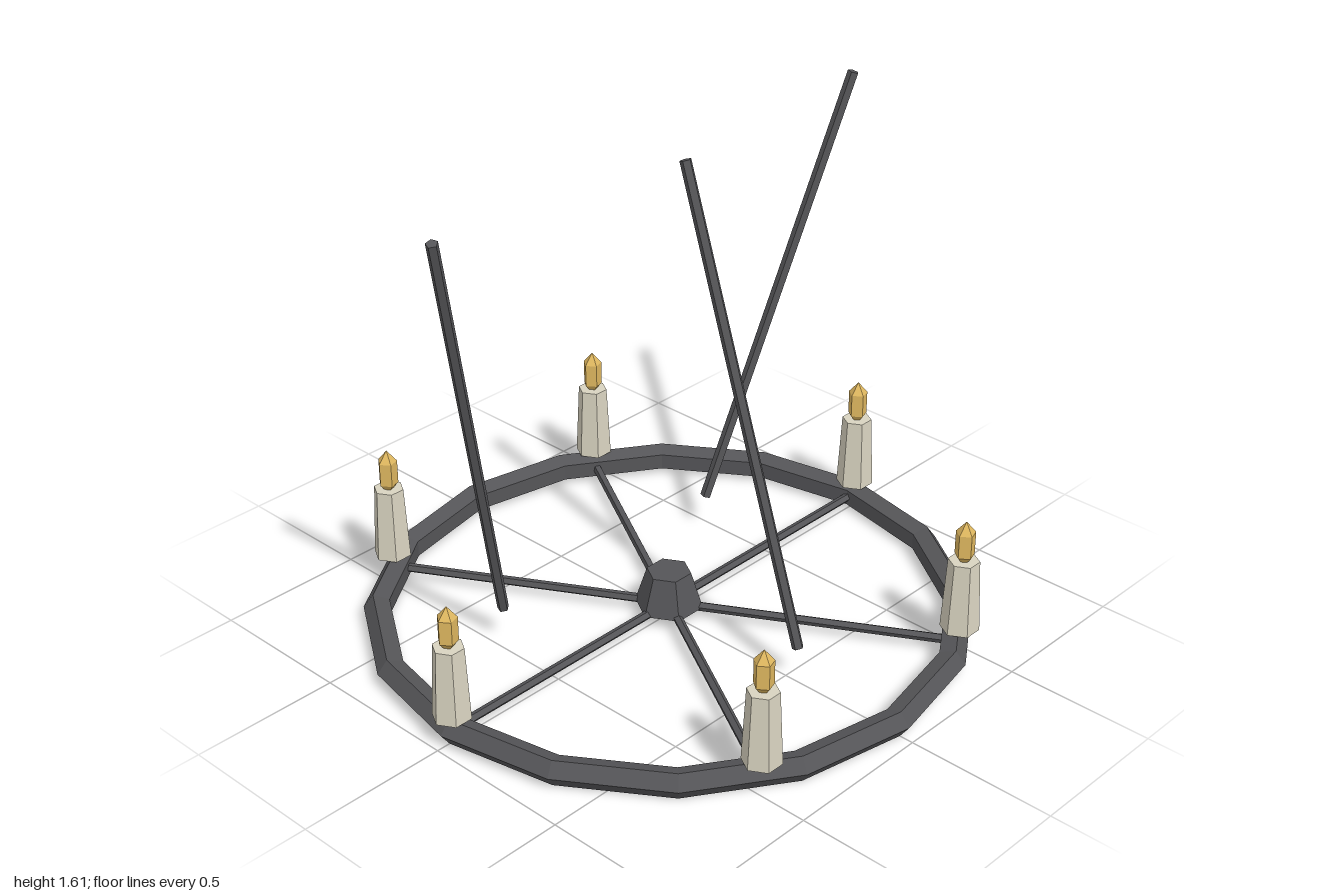
import * as THREE from 'three';

const RING_R = 0.9375;
const RING_Y = 0.0446;

export function createModel() {
  const model = new THREE.Group();
  model.name = 'candleChandelier';

  const mat = (name, color) => {
    const m = new THREE.MeshStandardMaterial({ color, flatShading: true });
    m.name = name;
    return m;
  };
  const iron = mat('dark iron', 0x555558);
  const wax = mat('candle wax', 0xd8d3c0);
  const fire = mat('flame gold', 0xe0b860);

  const add = (name, geometry, material, parent = model) => {
    const mesh = new THREE.Mesh(geometry, material);
    mesh.name = name;
    parent.add(mesh);
    return mesh;
  };

  // Straight bar between two points
  const bar = (name, from, to, radius, sides) => {
    const a = new THREE.Vector3(...from);
    const b = new THREE.Vector3(...to);
    const dir = b.clone().sub(a);
    const mesh = add(name, new THREE.CylinderGeometry(radius, radius, dir.length(), sides), iron);
    mesh.position.copy(a).add(b).multiplyScalar(0.5);
    mesh.quaternion.setFromUnitVectors(new THREE.Vector3(0, 1, 0), dir.normalize());
  };

  // Ring with a five-sided section
  const ring = new THREE.TorusGeometry(RING_R, 0.0469, 5, 16);
  ring.rotateX(Math.PI / 2);
  add('ring', ring, iron).position.y = RING_Y;

  // Tapered central hub
  const hub = new THREE.CylinderGeometry(0.073, 0.1125, 0.125, 6);
  hub.rotateY(Math.PI / 6);
  add('hub', hub, iron).position.y = 0.1035;

  // Six spokes, each with a candle at its end
  const candleGeo = new THREE.CylinderGeometry(0.05, 0.0625, 0.25, 6);
  candleGeo.rotateY(Math.PI / 6);
  const flameGeo = new THREE.SphereGeometry(0.0375, 5, 3);
  flameGeo.scale(1, 2.13, 1);
  for (let i = 0; i < 6; i++) {
    const angle = (i * Math.PI) / 3;
    const x = RING_R * Math.cos(angle);
    const z = RING_R * Math.sin(angle);
    bar('spoke', [0, RING_Y, 0], [x, RING_Y, z], 0.0156, 5);

    const candle = new THREE.Group();
    candle.name = 'candle';
    candle.position.set(x, 0, z);
    add('candleBody', candleGeo, wax, candle).position.y = 0.2196;
    add('flame', flameGeo, fire, candle).position.y = 0.404;
    model.add(candle);
  }

  // Hanging rods: one in front leaning back, a mirrored pair leaning outward
  bar('frontRod', [0, 0.126, 0.546], [0, 1.608, 0.066], 0.0188, 5);
  for (const s of [-1, 1]) {
    bar('sideRod', [s * 0.472, 0.126, -0.274], [s * 0.888, 1.608, -0.036], 0.0188, 5);
  }

  return model;
}
